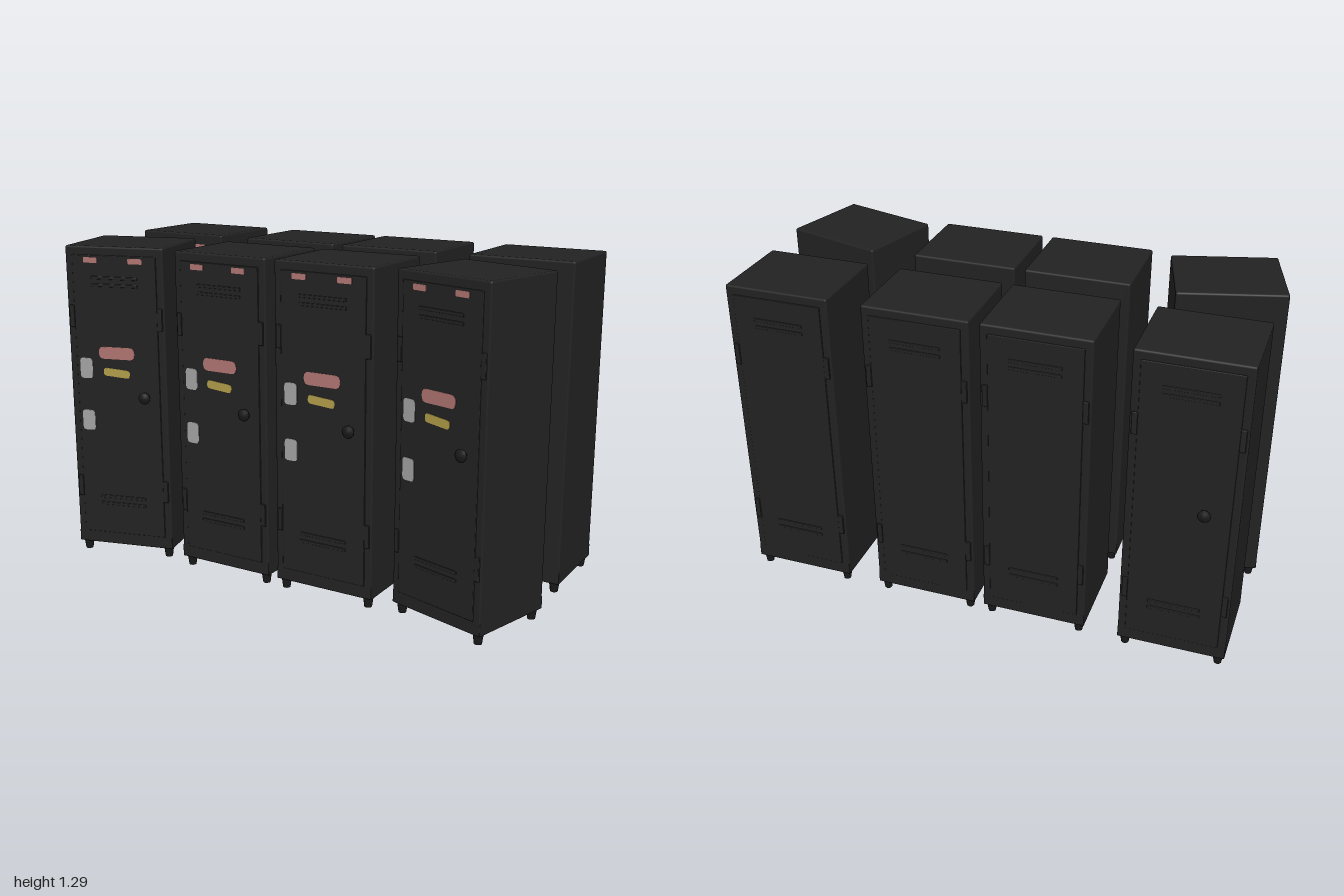
import * as THREE from 'three';
import { RoundedBoxGeometry } from 'three/addons/geometries/RoundedBoxGeometry.js';

const W = 0.42, D = 0.36, TOP = 1.295, BASE = 0.04, LIP = 0.03;

const mat = (name, color) => {
  const m = new THREE.MeshStandardMaterial({ color });
  m.name = name;
  return m;
};

export function createModel() {
  const paint = mat('charcoalPaint', 0x222222);
  const dark = mat('darkMetal', 0x1a1a1a);
  const pink = mat('pinkLabel', 0xae7470);
  const yellow = mat('yellowLabel', 0xb09c48);
  const grey = mat('greyLabel', 0xa2a2a2);

  const add = (parent, name, geo, material, x, y, z) => {
    const m = new THREE.Mesh(geo, material);
    m.name = name;
    m.position.set(x, y, z);
    parent.add(m);
    return m;
  };
  const box = (w, h, d, r = 0.003) => new RoundedBoxGeometry(w, h, d, 2, r);

  // Thin rounded plate facing +z
  const plate = (w, h, r) => {
    const s = new THREE.Shape(), a = w / 2, b = h / 2;
    s.moveTo(-a + r, -b);
    s.lineTo(a - r, -b); s.quadraticCurveTo(a, -b, a, -b + r);
    s.lineTo(a, b - r); s.quadraticCurveTo(a, b, a - r, b);
    s.lineTo(-a + r, b); s.quadraticCurveTo(-a, b, -a, b - r);
    s.lineTo(-a, -b + r); s.quadraticCurveTo(-a, -b, -a + r, -b);
    return new THREE.ExtrudeGeometry(s, { depth: 0.002, bevelEnabled: false, curveSegments: 4 });
  };

  // Geometries shared by all lockers
  const bodyGeo = box(W, TOP - BASE - LIP, D, 0.008);
  const doorGeo = box(0.36, 1.17, 0.008);
  const slotGeo = box(0.2, 0.012, 0.006, 0.002);
  const hingeGeo = box(0.022, 0.09, 0.014);
  const rimX = box(W, LIP + 0.02, 0.025), rimZ = box(0.025, LIP + 0.02, D);
  const footGeo = new THREE.CylinderGeometry(0.022, 0.015, 0.05, 10);
  const knobGeo = new THREE.LatheGeometry([
    [0, 0], [0.012, 0], [0.011, 0.01], [0.023, 0.016], [0.025, 0.024], [0.017, 0.032], [0, 0.035],
  ].map(([x, y]) => new THREE.Vector2(x, y)), 16);
  knobGeo.rotateX(Math.PI / 2);
  const ventGeo = plate(0.06, 0.022, 0.005);
  const pinkGeo = plate(0.155, 0.05, 0.022);
  const yellowGeo = plate(0.115, 0.033, 0.014);
  const greyGeo = plate(0.055, 0.085, 0.015);
  const spotGeo = plate(0.07, 0.028, 0.012);

  // Coloured labels on one face
  const labels = (z) => {
    const g = new THREE.Group();
    g.name = 'labels';
    for (const x of [-0.1, 0.092]) add(g, 'ventLabel', ventGeo, pink, x, 1.24, z);
    add(g, 'wideLabel', pinkGeo, pink, -0.002, 0.865, z);
    add(g, 'narrowLabel', yellowGeo, yellow, -0.005, 0.783, z).rotation.z = -0.08;
    add(g, 'upperTag', greyGeo, grey, -0.138, 0.797, z);
    add(g, 'lowerTag', greyGeo, grey, -0.138, 0.578, z);
    return g;
  };

  const locker = ({ x, z, turn = 0, knob, reversed = false, spot }) => {
    const g = new THREE.Group();
    g.name = 'locker';
    g.position.set(x, 0, z);
    g.rotation.y = turn;
    add(g, 'cabinet', bodyGeo, paint, 0, (TOP + BASE + LIP) / 2, 0);
    // Lip around the recessed underside, and feet
    const rimY = BASE + (LIP + 0.02) / 2;
    for (const s of [-1, 1]) {
      add(g, 'baseRim', rimX, paint, 0, rimY, s * (D / 2 - 0.0125));
      add(g, 'baseRim', rimZ, paint, s * (W / 2 - 0.0125), rimY, 0);
      for (const t of [-1, 1])
        add(g, 'foot', footGeo, dark, s * (W / 2 - 0.027), 0.025, t * (D / 2 - 0.027));
    }
    // Door with vent slots, hinges and knob
    const front = D / 2;
    add(g, 'door', doorGeo, paint, 0, 0.675, front);
    for (const y of [0.22, 0.25, 1.14, 1.17]) add(g, 'ventSlot', slotGeo, paint, 0, y, front + 0.004);
    for (const y of [0.29, 1.01])
      for (const s of [-1, 1]) add(g, 'hinge', hingeGeo, paint, s * 0.19, y, front);
    if (knob !== undefined) add(g, 'knob', knobGeo, dark, knob, 0.69, front + 0.002);
    // Labels on the side that looks forward
    const tags = labels(reversed ? front : front + 0.004);
    if (reversed) tags.rotation.y = Math.PI;
    g.add(tags);
    if (spot) add(g, 'rearSpot', spotGeo, spot.material, spot.x, spot.y, -front).rotation.y = Math.PI;
    return g;
  };

  const model = new THREE.Group();
  model.name = 'lockers';
  // Front row: the outer two turn inward
  model.add(
    locker({ x: -0.77, z: 0.25, turn: 0.27, knob: 0.12, spot: { material: grey, x: 0.09, y: 0.69 } }),
    locker({ x: -0.23, z: 0.217, knob: 0.12 }),
    locker({ x: 0.23, z: 0.217, knob: 0.12 }),
    locker({ x: 0.765, z: 0.25, turn: -0.28, knob: 0.12, spot: { material: pink, x: 0.02, y: 0.885 } }),
  );
  // Back row: doors face backward
  [-0.788, -0.23, 0.23, 0.785].forEach((x, i) => model.add(locker({
    x, z: i ? -0.28 : -0.29, turn: Math.PI, reversed: true, knob: i ? undefined : 0.085,
  })));
  return model;
}
